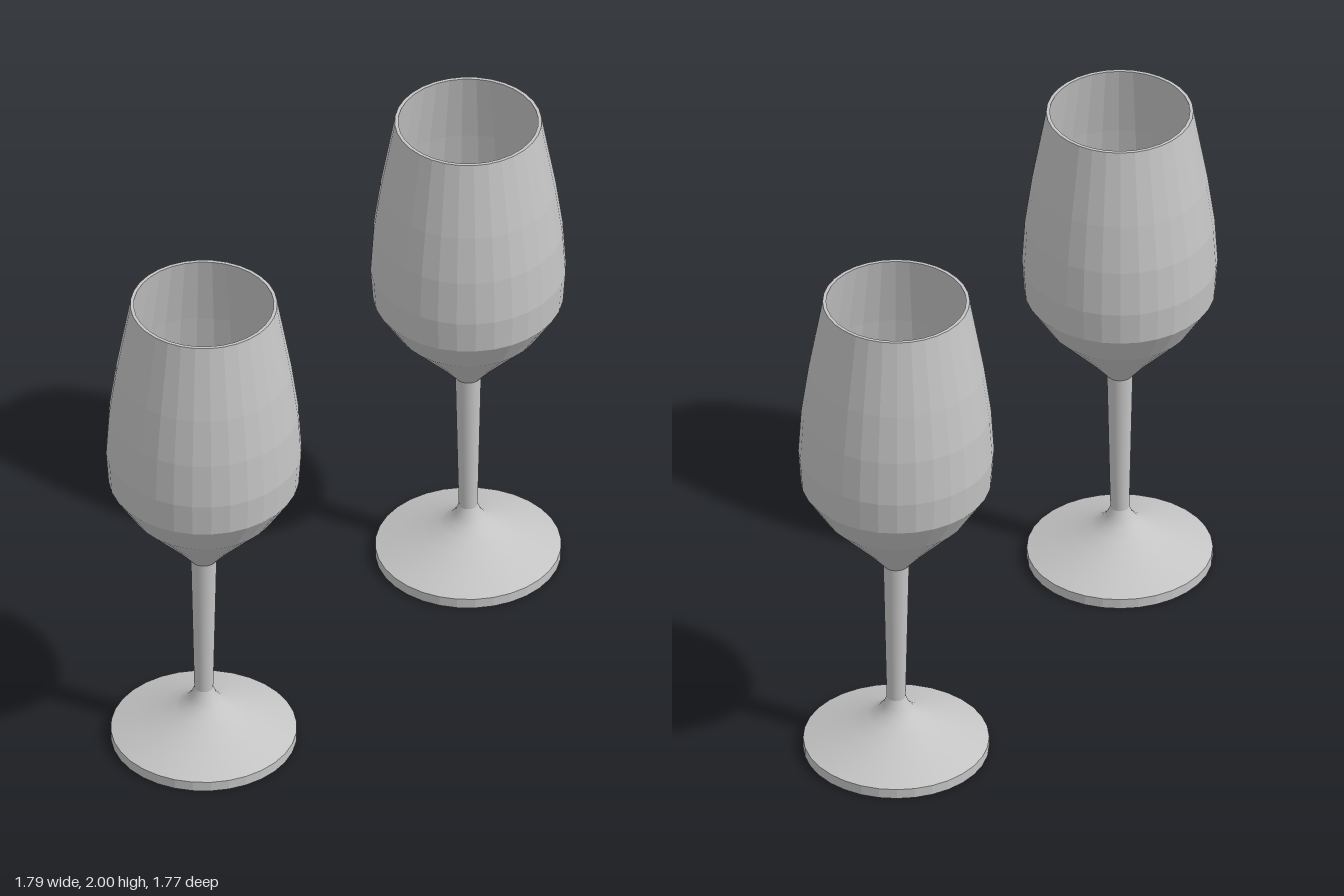
import * as THREE from 'three';

const SEGMENTS = 32;

// Lathe a profile of [radius, height] pairs; faceted parts get one normal per face
function turned(name, profile, material, faceted) {
  const points = profile.map(([r, y]) => new THREE.Vector2(r, y));
  let geometry = new THREE.LatheGeometry(points, SEGMENTS);
  if (faceted) {
    geometry = geometry.toNonIndexed();
    geometry.computeVertexNormals();
  }
  const mesh = new THREE.Mesh(geometry, material);
  mesh.name = name;
  return mesh;
}

export function createModel() {
  const grey = new THREE.MeshStandardMaterial({ color: 0xc4c4c4 });
  grey.name = 'pale grey';

  // Outer bowl wall from stem to rim, then back down the inside to a flat floor
  const bowl = [
    [0.048, 0.82], [0.116, 0.9], [0.27, 1.065], [0.354, 1.198], [0.363, 1.33],
    [0.352, 1.51], [0.326, 1.7], [0.273, 2],
    [0.26, 2], [0.312, 1.7], [0.338, 1.51], [0.349, 1.33], [0.34, 1.205],
    [0.258, 1.08], [0.105, 0.915], [0.065, 0.87], [0, 0.87],
  ];
  const stem = [[0.035, 0.225], [0.039, 0.4], [0.048, 0.82]];
  const footTop = [
    [0.345, 0.04], [0.25, 0.075], [0.165, 0.11], [0.105, 0.14],
    [0.07, 0.165], [0.048, 0.193], [0.035, 0.225],
  ];
  const footBase = [[0, 0], [0.345, 0], [0.345, 0.04]];

  const model = new THREE.Group();
  model.name = 'pair of wine glasses';

  // Two identical glasses on a diagonal
  for (const side of [-1, 1]) {
    const glass = new THREE.Group();
    glass.name = side < 0 ? 'rightGlass' : 'leftGlass';
    glass.add(
      turned('bowl', bowl, grey, true),
      turned('stem', stem, grey, false),
      turned('footTop', footTop, grey, false),
      turned('footBase', footBase, grey, true),
    );
    glass.position.set(side * 0.532, 0, side * -0.522);
    model.add(glass);
  }
  return model;
}
